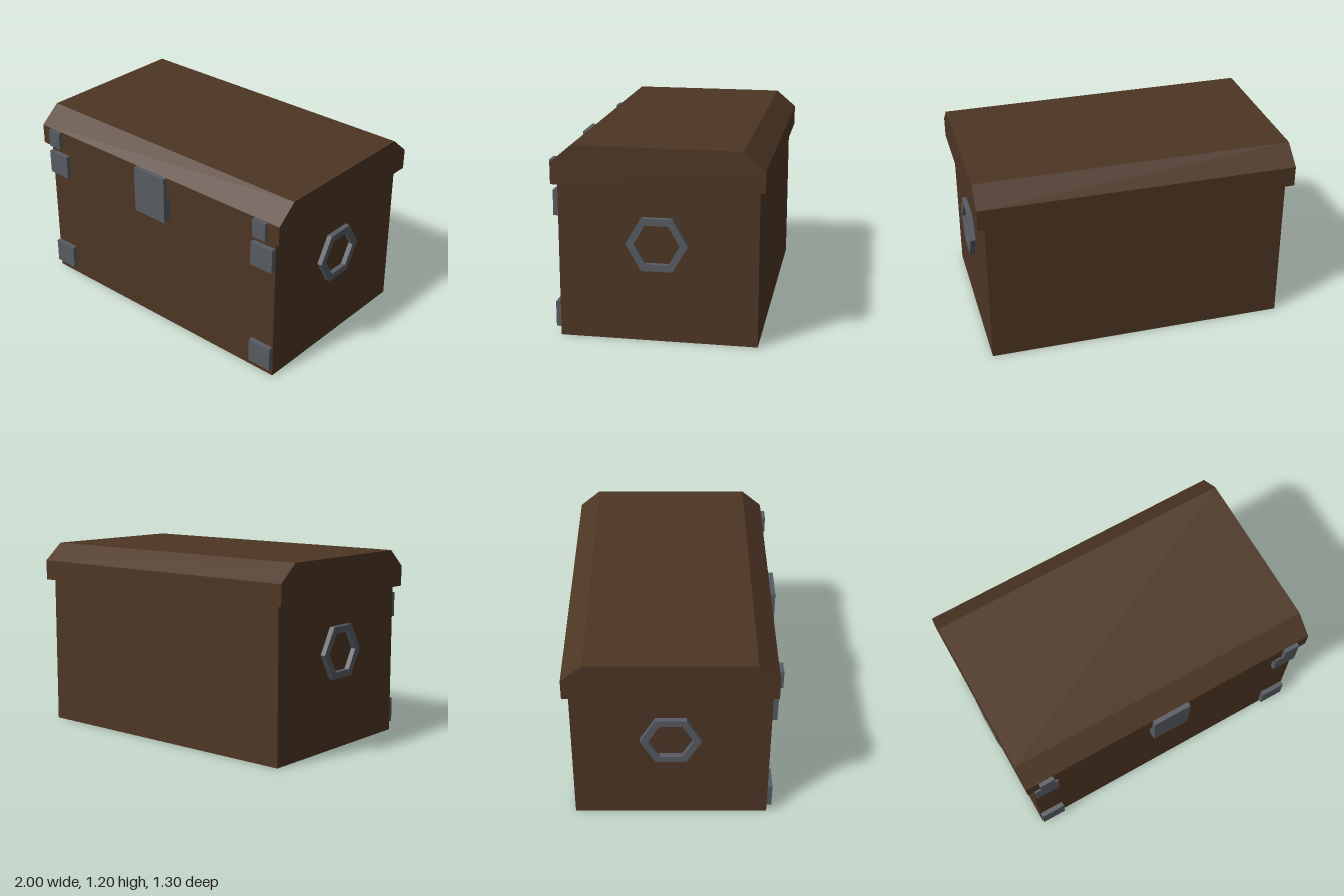
import * as THREE from 'three';

export function createModel() {
  const chest = new THREE.Group();
  chest.name = 'chest';

  const wood = new THREE.MeshStandardMaterial({ color: 0x4d3624 });
  wood.name = 'darkWood';
  wood.side = THREE.DoubleSide;
  const iron = new THREE.MeshStandardMaterial({ color: 0x575b62 });
  iron.name = 'greyIron';

  const add = (name, geometry, material) => {
    const mesh = new THREE.Mesh(geometry, material);
    mesh.name = name;
    chest.add(mesh);
    return mesh;
  };

  // Box given by its limits on each axis
  const block = (x0, x1, y0, y1, z0, z1) =>
    new THREE.BoxGeometry(x1 - x0, y1 - y0, z1 - z0)
      .translate((x0 + x1) / 2, (y0 + y1) / 2, (z0 + z1) / 2);

  // Body: four thin walls, open underneath and under the lid
  const walls = block(-0.955, 0.955, 0, 0.96, -0.615, 0.59);
  const faces = Array.from(walls.index.array);
  walls.setIndex([...faces.slice(0, 12), ...faces.slice(24)]);
  walls.clearGroups();
  add('body', walls, wood);

  // Lid: chamfered profile drawn in (-z, y) and extruded along x
  const profile = new THREE.Shape([
    [-0.62, 0.96], [0.65, 0.96], [0.65, 1.09],
    [0.52, 1.2], [-0.49, 1.2], [-0.62, 1.09],
  ].map(([u, v]) => new THREE.Vector2(u, v)));
  const lid = new THREE.ExtrudeGeometry(profile, { depth: 2, bevelEnabled: false });
  lid.translate(0, 0, -1).rotateY(Math.PI / 2);
  add('lid', lid, wood);

  // Latch on the front
  add('latch', block(-0.125, 0.125, 0.785, 1.09, 0.597, 0.65), iron);

  // Hexagonal ring outline
  const hexagon = (radius) => Array.from({ length: 6 }, (_, i) => {
    const a = (i * Math.PI) / 3;
    return new THREE.Vector2(radius * Math.cos(a), radius * Math.sin(a));
  });
  const ring = new THREE.Shape(hexagon(0.187));
  ring.holes.push(new THREE.Path(hexagon(0.138)));

  for (const [side, s] of [['left', 1], ['right', -1]]) {
    // Corner plates, set through the front wall
    const plate = (name, x0, x1, y0, y1, z0, z1) =>
      add(side + name, block(Math.min(s * x0, s * x1), Math.max(s * x0, s * x1), y0, y1, z0, z1), iron);
    plate('LowerPlate', 0.79, 0.952, 0.053, 0.21, 0.56, 0.62);
    plate('UpperPlate', 0.79, 0.952, 0.757, 0.913, 0.56, 0.62);
    plate('LidPlate', 0.82, 0.917, 0.972, 1.088, 0.6, 0.645);

    // Ring handle, set through the side wall
    const handle = new THREE.ExtrudeGeometry(ring, { depth: 0.06, bevelEnabled: false });
    handle.translate(0, 0, -0.03).rotateY(Math.PI / 2).translate(s * 0.957, 0.612, -0.012);
    add(side + 'Handle', handle, iron);
  }

  return chest;
}
